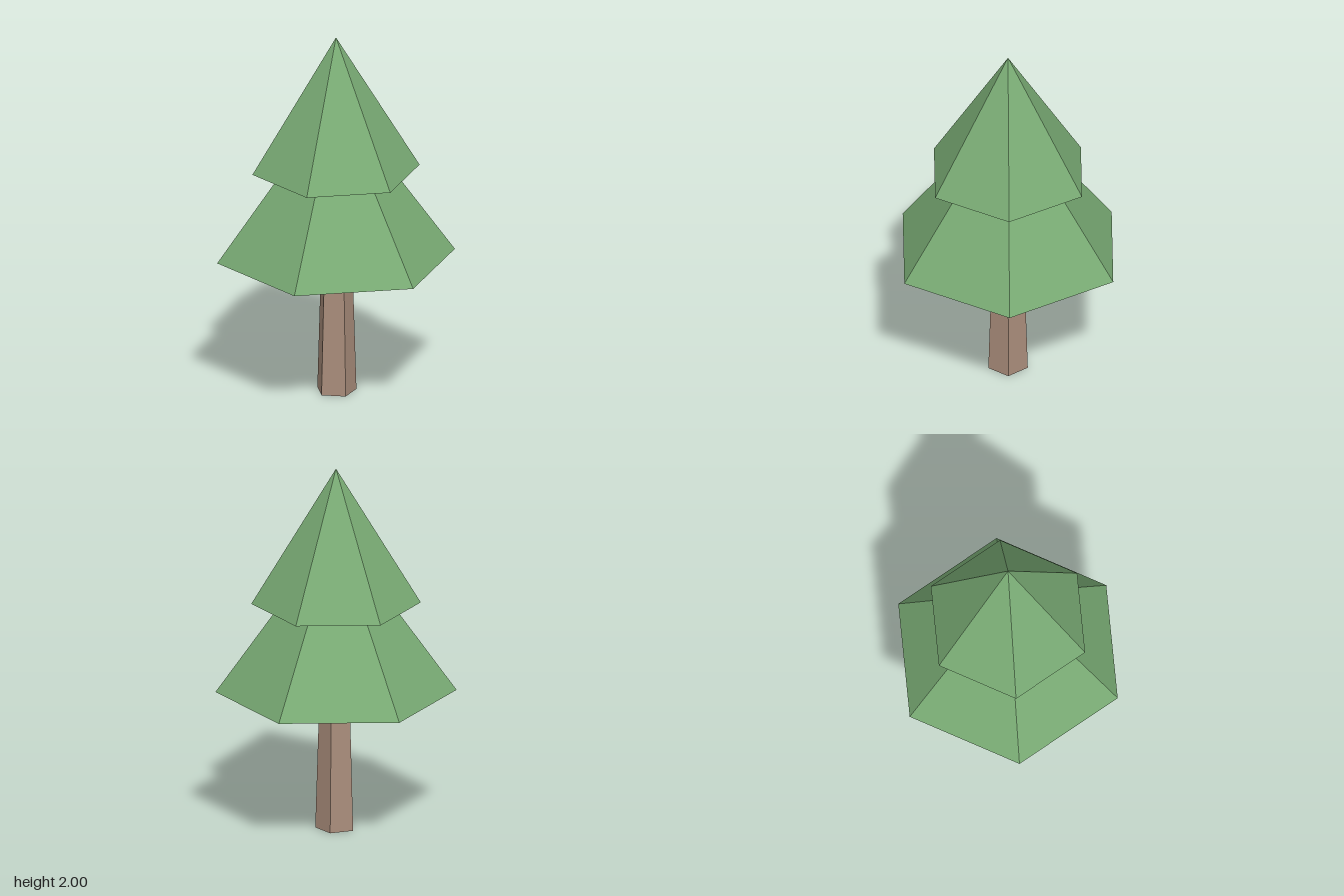
import * as THREE from 'three';

const foliage = new THREE.MeshStandardMaterial({ color: 0x79ab74, flatShading: true });
foliage.name = 'foliageGreen';
const bark = new THREE.MeshStandardMaterial({ color: 0xa98d7b, flatShading: true });
bark.name = 'barkBrown';

// Tapered prism standing on y = base, with one corner pointing to +x
function taper(name, material, sides, bottomRadius, topRadius, base, top) {
  const height = top - base;
  const geometry = new THREE.CylinderGeometry(topRadius, bottomRadius, height, sides);
  geometry.rotateY(Math.PI / 2);
  geometry.translate(0, base + height / 2, 0);
  const mesh = new THREE.Mesh(geometry, material);
  mesh.name = name;
  return mesh;
}

export function createModel() {
  const tree = new THREE.Group();
  tree.name = 'pineTree';
  tree.add(
    // Five-sided trunk
    taper('trunk', bark, 5, 0.11, 0.087, 0, 0.763),
    // Two six-sided foliage tiers, the lower one running up inside the upper
    taper('lowerFoliage', foliage, 6, 0.64, 0, 0.76, 1.66),
    taper('upperFoliage', foliage, 6, 0.45, 0, 1.25, 2),
  );
  return tree;
}
